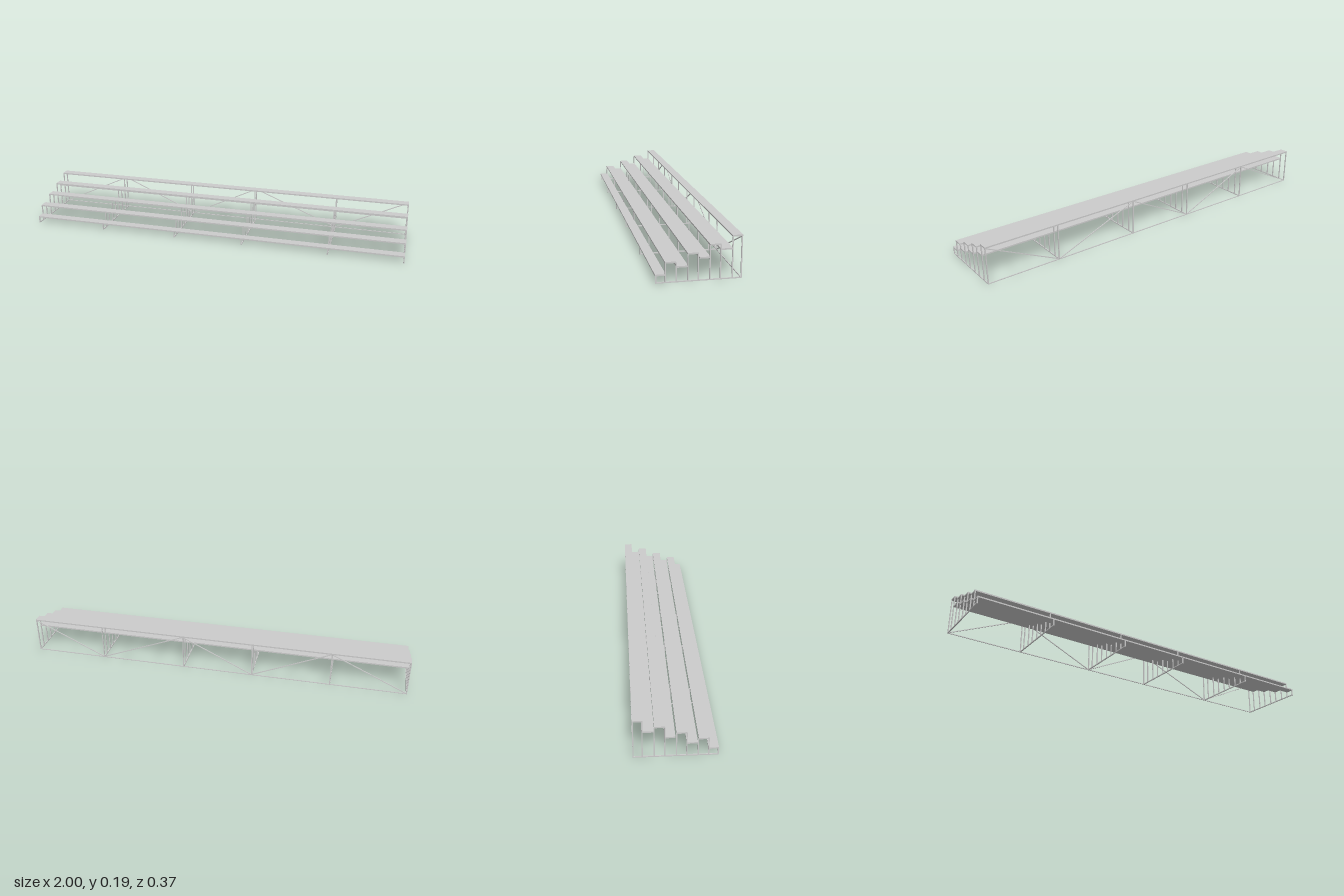
import * as THREE from 'three';

const BAR = 0.005;
const FRAME_X = [-0.9975, -0.61, -0.2, 0.17, 0.62, 0.9975];

// z front, z back, top height of every plank (seats and footboards, front to back)
const PLANKS = [
  ['seat', 0.185, 0.14, 0.039],
  ['seat', 0.143, 0.097, 0.091],
  ['footboard', 0.094, 0.046, 0.07],
  ['seat', 0.048, 0.002, 0.124],
  ['footboard', -0.002, -0.048, 0.103],
  ['seat', -0.046, -0.092, 0.157],
  ['footboard', -0.092, -0.143, 0.135],
  ['seat', -0.14, -0.185, 0.19],
];

// z and height of the posts in each frame
const POSTS = [
  [0.182, 0.034], [0.141, 0.086], [0.096, 0.086], [0.047, 0.119], [0.003, 0.119],
  [-0.047, 0.152], [-0.092, 0.152], [-0.143, 0.185], [-0.182, 0.185],
];

export function createModel() {
  const model = new THREE.Group();
  const material = new THREE.MeshStandardMaterial({ color: 0xcccccc });

  function box(parent, name, w, h, d, x, y, z) {
    const mesh = new THREE.Mesh(new THREE.BoxGeometry(w, h, d), material);
    mesh.name = name;
    mesh.position.set(x, y, z);
    parent.add(mesh);
    return mesh;
  }

  // Long planks
  for (const [name, z0, z1, top] of PLANKS) {
    box(model, name, 2, 0.007, z0 - z1, 0, top - 0.0035, (z0 + z1) / 2);
  }

  // Support frames: a ground bar with posts
  for (const x of FRAME_X) {
    const frame = new THREE.Group();
    frame.name = 'supportFrame';
    frame.position.x = x;
    box(frame, 'groundBar', BAR, BAR, 0.369, 0, BAR / 2, 0);
    for (const [z, h] of POSTS) box(frame, 'post', BAR, h, BAR, 0, h / 2, z);
    model.add(frame);
  }

  // Rear bottom rail
  box(model, 'rearRail', 2, 0.004, 0.004, 0, 0.002, -0.182);

  // Zigzag bracing across the back
  for (let i = 0; i < FRAME_X.length - 1; i++) {
    const y0 = i % 2 ? 0.183 : 0.003, y1 = i % 2 ? 0.003 : 0.183;
    const dx = FRAME_X[i + 1] - FRAME_X[i], dy = y1 - y0;
    const brace = box(model, 'diagonalBrace', Math.hypot(dx, dy), 0.004, 0.004,
      FRAME_X[i] + dx / 2, (y0 + y1) / 2, -0.182);
    brace.rotation.z = Math.atan2(dy, dx);
  }

  return model;
}
